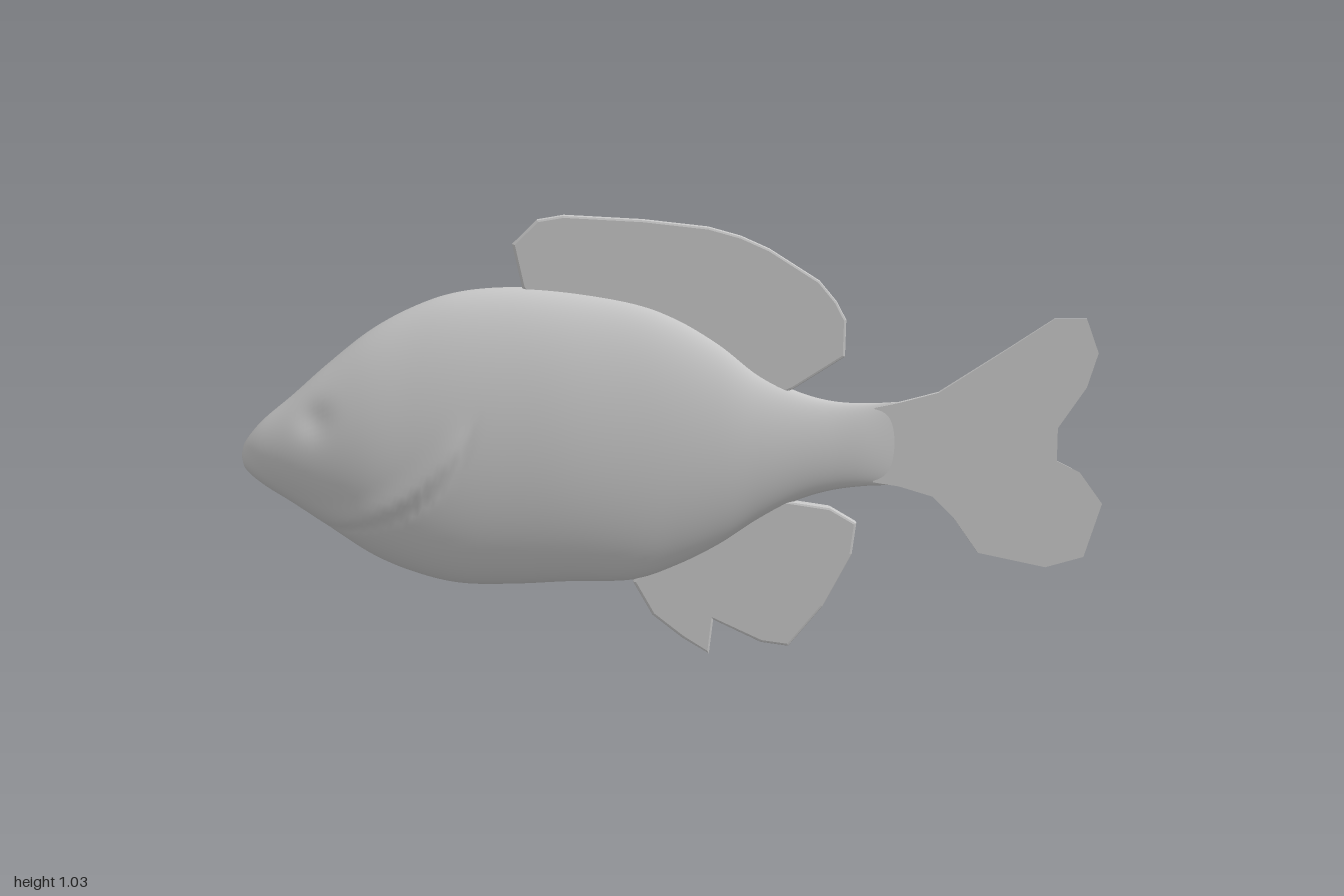
import * as THREE from 'three';

const grey = new THREE.MeshStandardMaterial({ color: 0xc6c6c6 });
grey.name = 'plain grey';

const smooth = THREE.MathUtils.smoothstep;

// Body stations: x, top, bottom, half width
const stations = [
  [-1, 0.487, 0.472, 0.004], [-0.99, 0.515, 0.445, 0.022], [-0.95, 0.562, 0.41, 0.05],
  [-0.88, 0.62, 0.365, 0.08], [-0.8, 0.69, 0.31, 0.102], [-0.7, 0.768, 0.243, 0.122],
  [-0.6, 0.822, 0.2, 0.13], [-0.5, 0.855, 0.176, 0.133], [-0.38, 0.866, 0.173, 0.131],
  [-0.25, 0.858, 0.178, 0.126], [-0.1, 0.833, 0.181, 0.112], [0, 0.797, 0.213, 0.1],
  [0.1, 0.738, 0.262, 0.084], [0.19, 0.668, 0.32, 0.066], [0.28, 0.624, 0.366, 0.048],
  [0.36, 0.601, 0.39, 0.034], [0.44, 0.595, 0.4, 0.022], [0.52, 0.598, 0.402, 0.006],
];

// Raised gill cover with a groove behind it, and a shallow eye socket
function sideRelief(x, y) {
  const r = Math.pow(Math.abs(x + 0.78) / 0.31, 1.7) + Math.pow(Math.abs(y - 0.57) / 0.245, 1.7);
  const fade = 1 - smooth(y, 0.46, 0.59);
  const cover = 0.009 * smooth(r, 0.6, 0.95) * (1 - smooth(r, 0.97, 1.06));
  const groove = 0.005 * Math.exp(-(((r - 1.07) / 0.05) ** 2));
  const eye = 0.011 * Math.exp(-((x + 0.82) ** 2 + (y - 0.575) ** 2) / 0.0014);
  return (cover - groove) * fade - eye;
}

function bodyGeometry() {
  const heights = new THREE.CatmullRomCurve3(
    stations.map(([x, t, b]) => new THREE.Vector3(x, t, b)), false, 'catmullrom', 0.5);
  const widths = new THREE.CatmullRomCurve3(
    stations.map(([x, , , w]) => new THREE.Vector3(x, w, 0)), false, 'catmullrom', 0.5);
  const rows = 136, sides = 72;
  const positions = [], indices = [];
  for (let i = 0; i <= rows; i++) {
    const { x, y: top, z: bottom } = heights.getPoint(i / rows);
    const w = widths.getPoint(i / rows).y;
    for (let j = 0; j < sides; j++) {
      const a = (j / sides) * Math.PI * 2;
      const y = (top + bottom) / 2 + ((top - bottom) / 2) * Math.cos(a);
      positions.push(x, y, (w + sideRelief(x, y)) * Math.sin(a));
      if (i === rows) continue;
      const k = (j + 1) % sides, p = i * sides, q = p + sides;
      indices.push(p + j, p + k, q + j, p + k, q + k, q + j);
    }
  }
  // End caps
  for (const [row, flip] of [[0, false], [rows, true]]) {
    const s = row * sides;
    for (let j = 1; j < sides - 1; j++) {
      indices.push(s, s + (flip ? j : j + 1), s + (flip ? j + 1 : j));
    }
  }
  const geometry = new THREE.BufferGeometry();
  geometry.setAttribute('position', new THREE.Float32BufferAttribute(positions, 3));
  geometry.setIndex(indices);
  geometry.computeVertexNormals();
  return geometry;
}

// Flat fin centred on z = 0, with a small bevel
function finGeometry(outline, thickness, bevel) {
  const shape = new THREE.Shape(outline.map(([x, y]) => new THREE.Vector2(x, y)));
  const geometry = new THREE.ExtrudeGeometry(shape, {
    depth: thickness - 2 * bevel, bevelEnabled: bevel > 0, bevelThickness: bevel,
    bevelSize: bevel, bevelOffset: -bevel, bevelSegments: 2,
  });
  return geometry.translate(0, 0, -thickness / 2 + bevel);
}

export function createModel() {
  const model = new THREE.Group();
  model.name = 'fish';
  const add = (name, geometry) => {
    const mesh = new THREE.Mesh(geometry, grey);
    mesh.name = name;
    model.add(mesh);
  };

  add('body', bodyGeometry());

  add('dorsalFin', finGeometry([
    [-0.3, 0.8], [0, 0.7], [0.2, 0.6], [0.27, 0.63], [0.39, 0.705], [0.392, 0.79],
    [0.37, 0.832], [0.33, 0.88], [0.215, 0.953], [0.15, 0.982], [0.075, 1.003],
    [-0.075, 1.02], [-0.255, 1.03], [-0.315, 1.02], [-0.372, 0.965], [-0.35, 0.865],
  ], 0.034, 0.006));

  add('analFin', finGeometry([
    [0, 0.3], [-0.1, 0.178], [-0.055, 0.098], [0.015, 0.042], [0.078, 0.003],
    [0.088, 0.085], [0.2, 0.03], [0.265, 0.02], [0.345, 0.115], [0.412, 0.24],
    [0.422, 0.315], [0.36, 0.352], [0.26, 0.368], [0.2, 0.42],
  ], 0.034, 0.006));

  // Tail fin thins towards its tip
  const tail = finGeometry([
    [0.46, 0.41], [0.52, 0.4], [0.6, 0.375], [0.65, 0.325], [0.71, 0.24], [0.87, 0.204],
    [0.96, 0.228], [1, 0.355], [0.945, 0.43], [0.89, 0.458], [0.89, 0.535],
    [0.955, 0.63], [0.98, 0.71], [0.95, 0.79], [0.875, 0.79], [0.775, 0.725],
    [0.61, 0.62], [0.52, 0.597], [0.46, 0.585],
  ], 0.02, 0);
  const p = tail.attributes.position;
  for (let i = 0; i < p.count; i++) {
    const half = THREE.MathUtils.mapLinear(p.getX(i), 0.46, 1, 0.009, 0.002);
    p.setZ(i, Math.sign(p.getZ(i)) * half);
  }
  tail.computeVertexNormals();
  add('tailFin', tail);

  return model;
}
